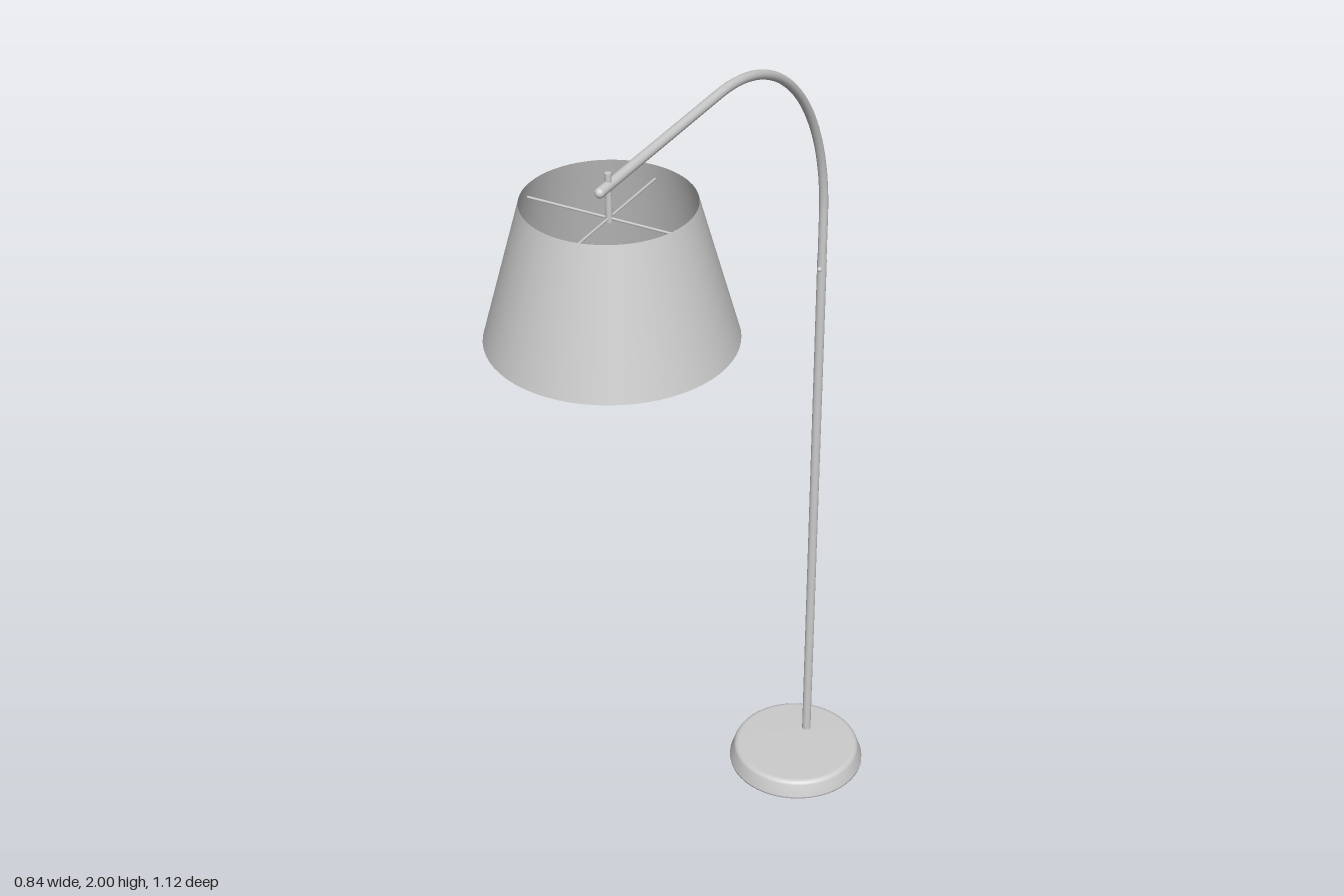
import * as THREE from 'three';

const material = new THREE.MeshStandardMaterial({ color: 0xcccccc });
const openMaterial = new THREE.MeshStandardMaterial({ color: 0xcccccc, side: THREE.DoubleSide });

const POLE = new THREE.Vector3(0.288, 0, -0.452);
const REACH = 0.911; // pole axis to shade axis
const ARM_Y = 1.975;
const BEND = 0.49;

function add(parent, name, geometry, x = 0, y = 0, z = 0, mat = material) {
  const mesh = new THREE.Mesh(geometry, mat);
  mesh.name = name;
  mesh.position.set(x, y, z);
  parent.add(mesh);
  return mesh;
}

// Upright, quarter bend and level arm as one path
function armPath() {
  const path = new THREE.CurvePath();
  const v = (x, y) => new THREE.Vector3(x, y, 0);
  const k = BEND * 0.5523;
  const low = ARM_Y - BEND;
  path.add(new THREE.LineCurve3(v(0, 1.28), v(0, low)));
  path.add(new THREE.CubicBezierCurve3(v(0, low), v(0, low + k), v(BEND - k, ARM_Y), v(BEND, ARM_Y)));
  path.add(new THREE.LineCurve3(v(BEND, ARM_Y), v(REACH + 0.03, ARM_Y)));
  return path;
}

export function createModel() {
  const model = new THREE.Group();
  model.name = 'arcFloorLamp';

  // Round weighted base with a softened top edge
  const baseProfile = [
    [0, 0], [0.16, 0], [0.164, 0.003], [0.164, 0.008], [0.154, 0.037],
    [0.151, 0.042], [0.146, 0.045], [0.14, 0.046], [0, 0.046],
  ].map(([r, y]) => new THREE.Vector2(r, y));
  add(model, 'base', new THREE.LatheGeometry(baseProfile, 64), 0.257, 0, -0.4);

  // Local +x runs from the pole towards the shade
  const stand = new THREE.Group();
  stand.name = 'stand';
  stand.position.copy(POLE);
  stand.rotation.y = Math.atan2(-0.853, -0.522);
  model.add(stand);

  add(stand, 'lowerPole', new THREE.CylinderGeometry(0.0105, 0.0105, 1.34, 24), 0, 0.71, 0);
  add(stand, 'poleScrew', new THREE.SphereGeometry(0.006, 12, 8), 0.011, 1.36, 0);
  add(stand, 'curvedArm', new THREE.TubeGeometry(armPath(), 120, 0.0098, 16, false), 0, 0, 0, openMaterial);
  add(stand, 'armTip', new THREE.SphereGeometry(0.0098, 16, 12), REACH + 0.03, ARM_Y, 0);

  // Shade hangs from a pin through the arm
  const shade = new THREE.Group();
  shade.name = 'shadeAssembly';
  shade.position.x = REACH;
  stand.add(shade);

  add(shade, 'hangingPin', new THREE.CylinderGeometry(0.006, 0.006, 0.095, 16), 0, 1.9525, 0);
  add(shade, 'shade', new THREE.CylinderGeometry(0.16, 0.236, 0.275, 64, 1, true), 0, 1.8075, 0, openMaterial);

  // Four thin spokes hold the shade
  for (let i = 0; i < 4; i++) {
    const arm = new THREE.Group();
    arm.rotation.y = (i * Math.PI) / 2;
    shade.add(arm);
    add(arm, 'shadeSpoke', new THREE.CylinderGeometry(0.0025, 0.0025, 0.168, 8), 0.084, 1.912, 0).rotation.z = Math.PI / 2;
  }

  return model;
}
